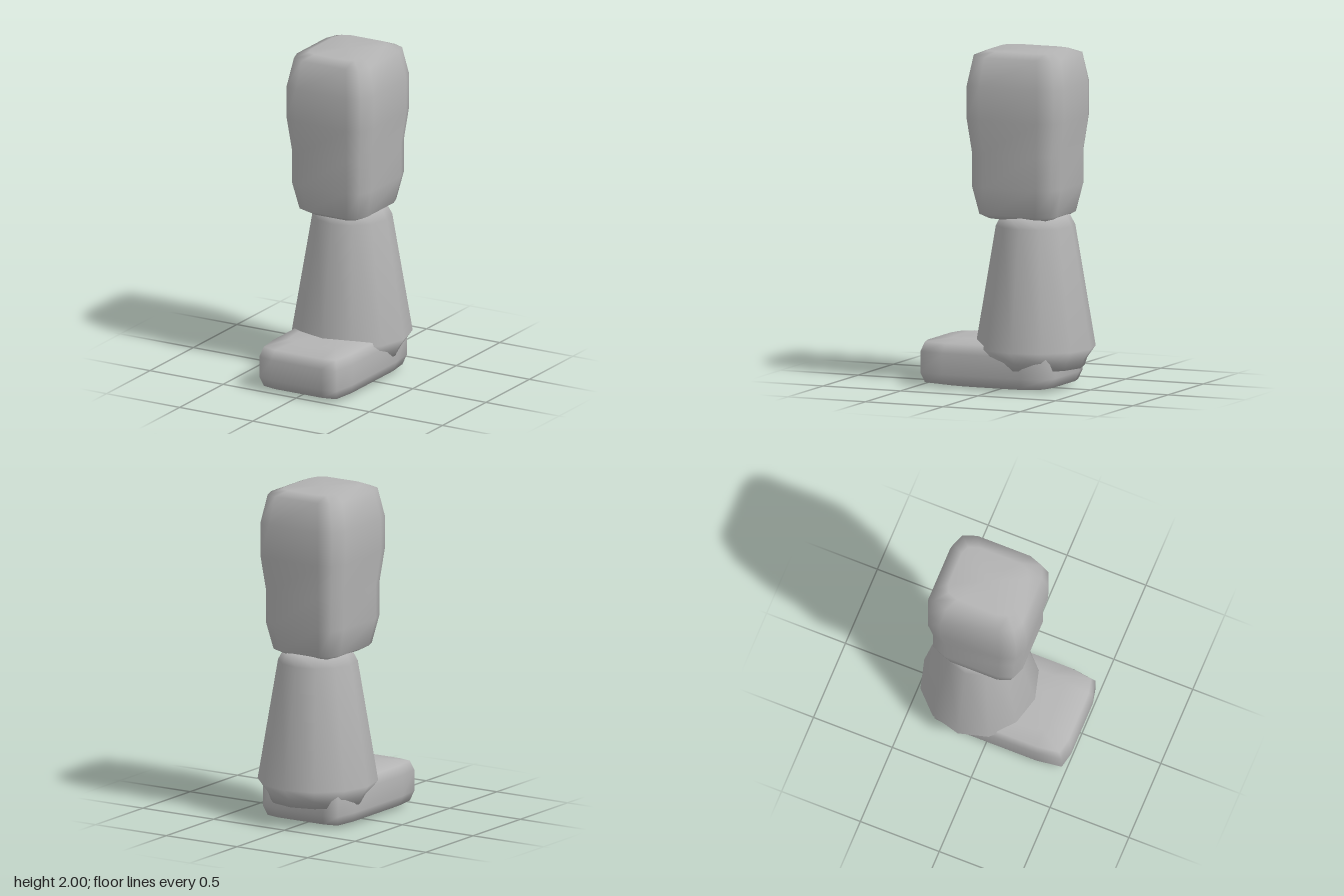
import * as THREE from 'three';

// Soft box lofted from 12-sided rounded rectangles; each ring is [y, halfX, halfZ].
function softBox(rings, corner) {
  const quarter = [[1, 0.6], [corner, corner + 0.02], [0.6, 1]];
  const outline = [
    ...quarter,
    ...quarter.map(([x, z]) => [-x, z]).reverse(),
    ...quarter.map(([x, z]) => [-x, -z]),
    ...quarter.map(([x, z]) => [x, -z]).reverse(),
  ];
  const n = outline.length;
  const positions = [];
  const indices = [];
  for (const [y, hx, hz] of rings) {
    for (const [x, z] of outline) positions.push(x * hx, y, z * hz);
  }
  for (let r = 0; r < rings.length - 1; r++) {
    for (let i = 0; i < n; i++) {
      const a = r * n + i;
      const b = r * n + ((i + 1) % n);
      indices.push(a, a + n, b, b, a + n, b + n);
    }
  }
  // Caps
  const bottom = positions.length / 3;
  const top = bottom + 1;
  const last = (rings.length - 1) * n;
  positions.push(0, rings[0][0], 0, 0, rings[rings.length - 1][0], 0);
  for (let i = 0; i < n; i++) {
    const j = (i + 1) % n;
    indices.push(bottom, i, j, top, last + j, last + i);
  }
  const geometry = new THREE.BufferGeometry();
  geometry.setAttribute('position', new THREE.Float32BufferAttribute(positions, 3));
  geometry.setIndex(indices);
  geometry.computeVertexNormals();
  return geometry;
}

export function createModel() {
  const group = new THREE.Group();
  const grey = new THREE.MeshStandardMaterial({ color: 0xb4b4b4 });
  grey.name = 'plain grey';

  function add(name, geometry, z) {
    const mesh = new THREE.Mesh(geometry, grey);
    mesh.name = name;
    mesh.position.z = z;
    group.add(mesh);
  }

  // Thigh: wide at the top, slightly narrower above the knee
  add('thigh', softBox([
    [1.005, 0.17, 0.2],
    [1.035, 0.225, 0.248],
    [1.2, 0.262, 0.284],
    [1.4, 0.262, 0.284],
    [1.6, 0.287, 0.311],
    [1.8, 0.287, 0.311],
    [1.97, 0.25, 0.28],
    [2.0, 0.175, 0.21],
  ], 0.88), -0.095);

  // Flared shin with a rounded knee end and a stepped hem
  const shinProfile = [
    [0, 0.125], [0.29, 0.125], [0.305, 0.17], [0.355, 0.24],
    [0.235, 0.96], [0.2, 1.025], [0, 1.04],
  ].map(([r, y]) => new THREE.Vector2(r, y));
  add('shin', new THREE.LatheGeometry(shinProfile, 12), -0.145);

  // Foot: long flat block pushed forward of the shin
  add('foot', softBox([
    [0, 0.175, 0.26],
    [0.022, 0.266, 0.402],
    [0.08, 0.285, 0.425],
    [0.205, 0.285, 0.425],
    [0.263, 0.266, 0.402],
    [0.285, 0.175, 0.26],
  ], 0.93), 0.075);

  return group;
}
